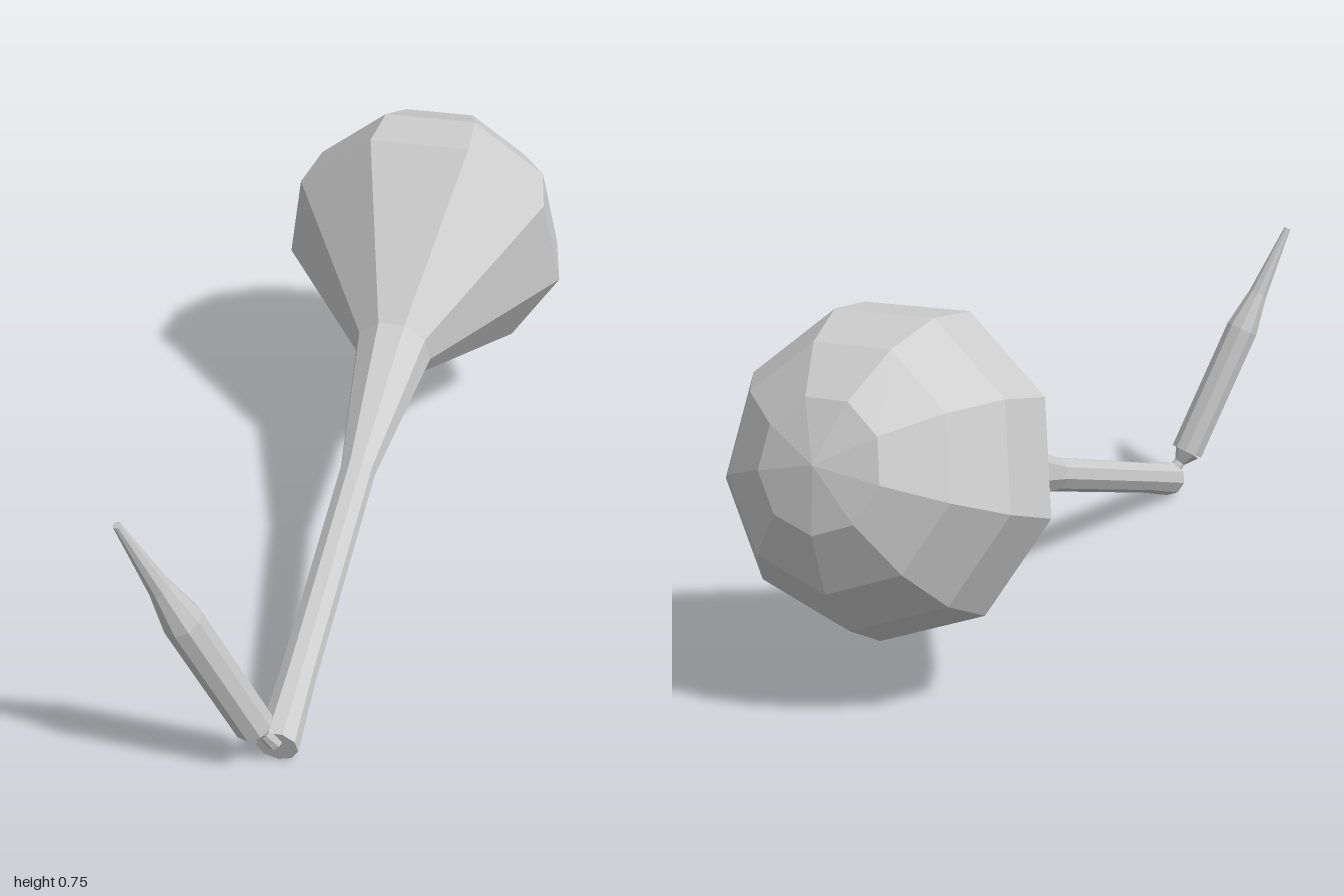
import * as THREE from 'three';

const SIDES = 9;
const material = new THREE.MeshStandardMaterial({ color: 0xcccccc, flatShading: true });

// Faceted body of revolution: stations are [distance along the axis, radius]
function spindle(name, start, direction, reference, stations) {
  const axis = direction.clone().normalize();
  const v = reference.clone().addScaledVector(axis, -reference.dot(axis)).normalize();
  const u = new THREE.Vector3().crossVectors(axis, v);
  const positions = [];
  const index = [];
  stations.forEach(([t, r], i) => {
    for (let j = 0; j < SIDES; j++) {
      const angle = -Math.PI / 2 + (j / SIDES) * Math.PI * 2;
      const p = start.clone().addScaledVector(axis, t)
        .addScaledVector(u, r * Math.cos(angle))
        .addScaledVector(v, r * Math.sin(angle));
      positions.push(p.x, p.y, p.z);
      if (i === stations.length - 1) continue;
      const k = (j + 1) % SIDES;
      const a = i * SIDES + j, b = i * SIDES + k;
      const c = a + SIDES, e = b + SIDES;
      // Skip the collapsed triangles at the pointed ends
      if (stations[i + 1][1] > 0) index.push(a, c, e);
      else index.push(a, c, b);
      if (r > 0 && stations[i + 1][1] > 0) index.push(a, e, b);
    }
  });
  const geometry = new THREE.BufferGeometry();
  geometry.setAttribute('position', new THREE.Float32BufferAttribute(positions, 3));
  geometry.setIndex(index);
  geometry.computeVertexNormals();
  const mesh = new THREE.Mesh(geometry, material);
  mesh.name = name;
  return mesh;
}

export function createModel() {
  const group = new THREE.Group();
  group.name = 'clubbedStalk';

  // Long stalk flaring into a cone, closed by a domed bulb
  const slope = new THREE.Vector3(-0.17, 0.284, -1);
  const scale = slope.length();
  const bulbCentre = 1.4 * scale;
  const bulbRadius = 0.335;
  const stations = [
    [0, 0], [0, 0.043],
    [0.16 * scale, 0.038],
    [0.7 * scale, 0.039],
    [1.06 * scale, 0.088],
  ];
  for (let i = 0; i <= 4; i++) {
    const a = (i / 4) * Math.PI / 2;
    stations.push([bulbCentre + bulbRadius * Math.sin(a), i === 4 ? 0 : bulbRadius * Math.cos(a)]);
  }
  group.add(spindle('stalkAndBulb', new THREE.Vector3(0.237, 0.045, 0.743), slope,
    new THREE.Vector3(0, 1, 0), stations));

  // Upright spike with a long shaft and a narrowing tip
  const base = new THREE.Vector3(0.204, 0.114, 0.777);
  const tip = new THREE.Vector3(0.048, 0.669, 0.995);
  const spikeAxis = tip.clone().sub(base);
  const length = spikeAxis.length();
  group.add(spindle('spike', base, spikeAxis, new THREE.Vector3(0, 0, -1), [
    [0, 0], [0, 0.04],
    [0.55 * length, 0.04],
    [0.71 * length, 0.023],
    [length, 0.008], [length, 0],
  ]));

  // Pinched joint between spike and stalk
  const joint = new THREE.Vector3(0.231, 0.055, 0.74);
  const jointAxis = base.clone().sub(joint);
  group.add(spindle('joint', joint, jointAxis, new THREE.Vector3(0, 0, -1), [
    [0, 0], [0, 0.02],
    [0.55 * jointAxis.length(), 0.014],
    [jointAxis.length(), 0.034],
  ]));

  return group;
}
